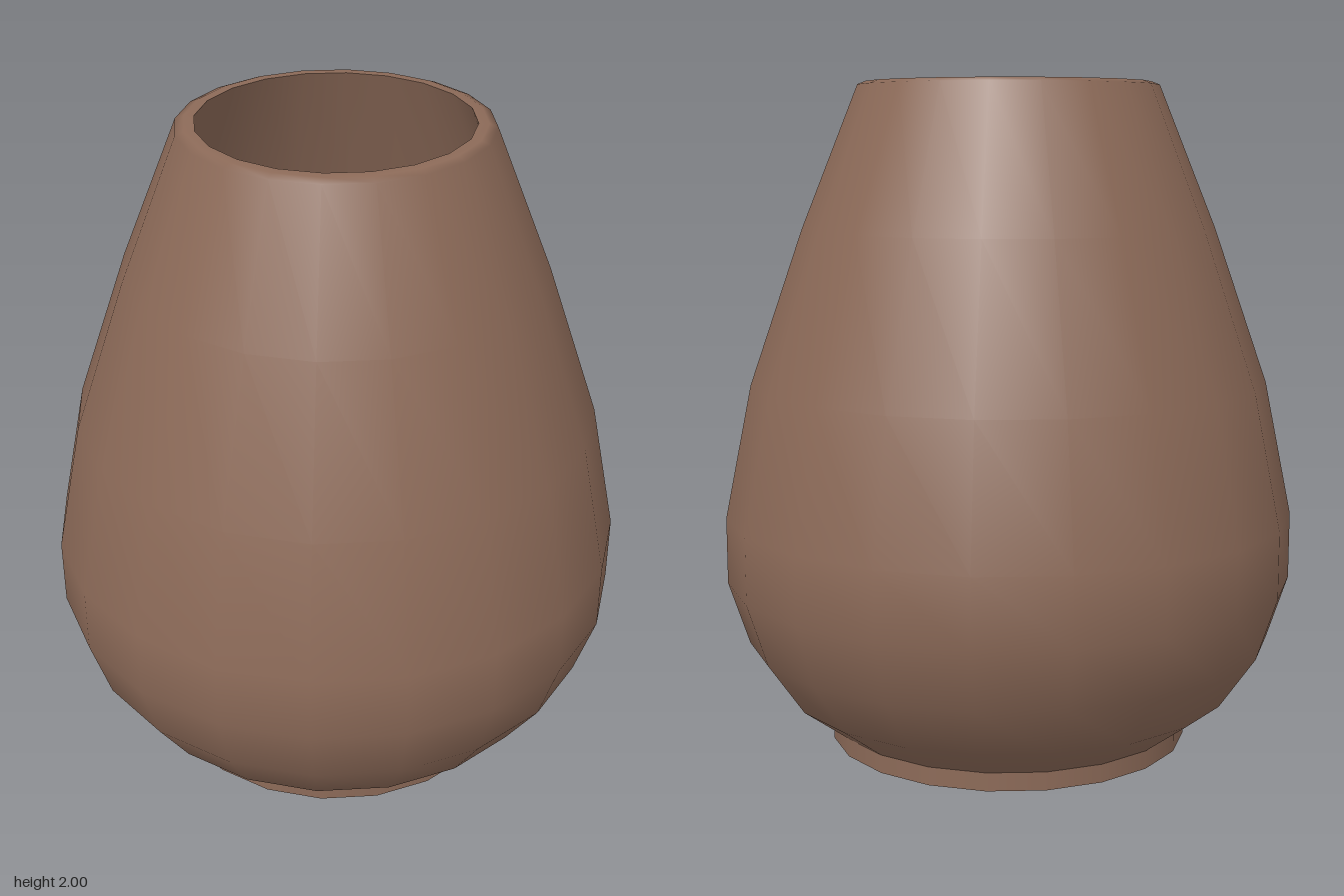
import * as THREE from 'three';

const SIDES = 20;

export function createModel() {
  const group = new THREE.Group();
  const clay = new THREE.MeshStandardMaterial({ color: 0x8c6a58 });
  clay.name = 'brown clay';

  const add = (name, geometry, y = 0) => {
    const mesh = new THREE.Mesh(geometry, clay);
    mesh.name = name;
    mesh.position.y = y;
    group.add(mesh);
    return mesh;
  };
  // Smooth surface of revolution from [radius, height] pairs
  const lathe = (points) =>
    new THREE.LatheGeometry(points.map(([r, y]) => new THREE.Vector2(r, y)), SIDES);

  // Foot ring with flat underside
  add('foot', new THREE.CylinderGeometry(0.55, 0.55, 0.055, SIDES), 0.0275);

  // Rounded outer body, running over the lip
  add('body', lathe([
    [0.55, 0.055], [0.69, 0.16], [0.8, 0.32], [0.862, 0.51], [0.862, 0.71],
    [0.78, 1.11], [0.62, 1.57], [0.45, 1.99], [0.425, 2], [0.395, 2],
  ]));

  // Hollow interior, listed from the lip downwards so it faces inwards
  add('innerWall', lathe([
    [0.395, 2], [0.565, 1.56], [0.725, 1.1], [0.805, 0.71],
    [0.805, 0.52], [0.75, 0.35], [0.65, 0.2], [0.52, 0.1],
  ]));

  // Flat inner floor
  const floor = new THREE.CircleGeometry(0.52, SIDES);
  floor.rotateX(-Math.PI / 2);
  add('innerFloor', floor, 0.1);

  return group;
}
